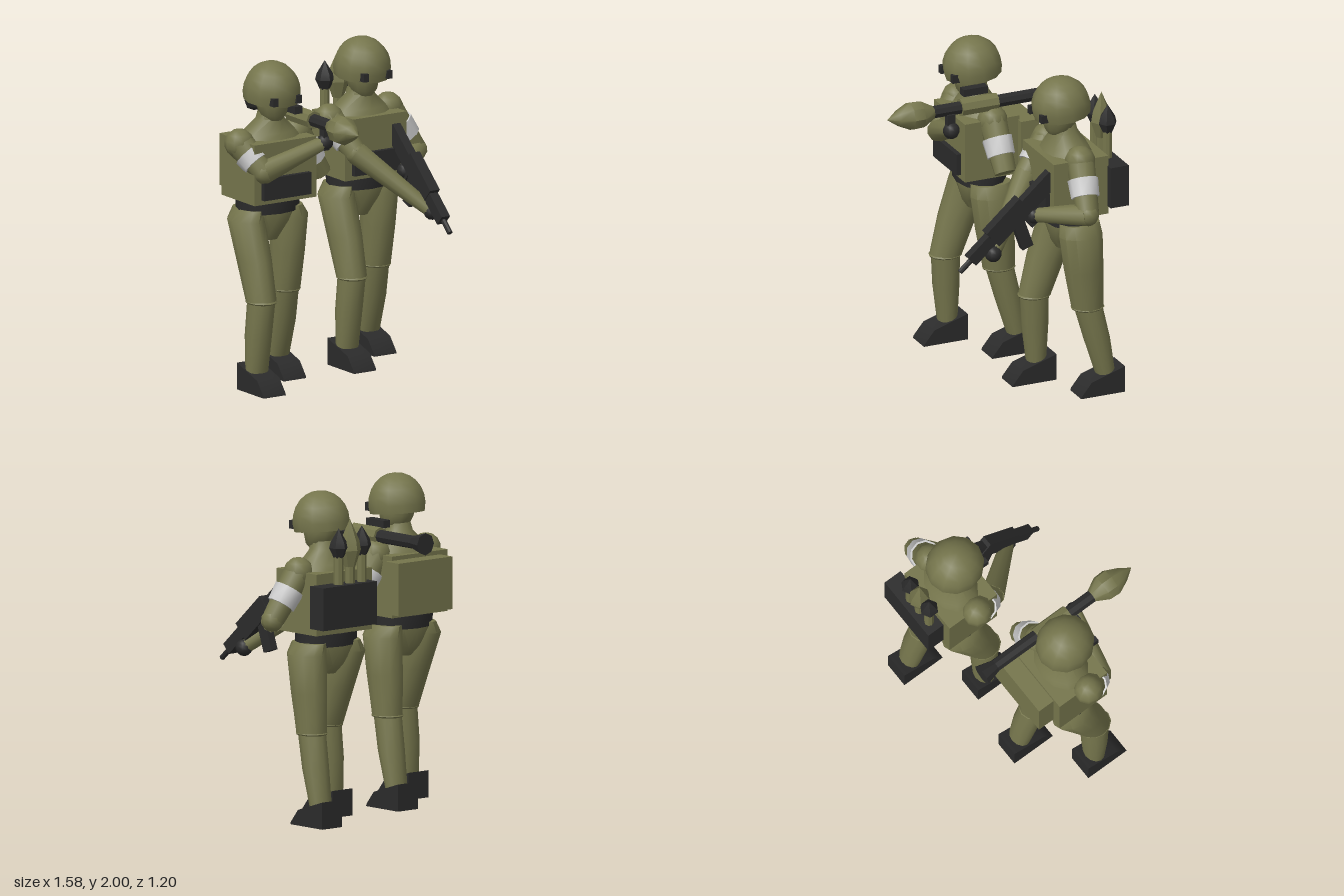
import * as THREE from 'three';
import { toCreasedNormals } from 'three/addons/utils/BufferGeometryUtils.js';

const mat = (color) => new THREE.MeshStandardMaterial({ color, side: THREE.DoubleSide });
const olive = mat(0x75754c), dark = mat(0x2b2b2b), white = mat(0xcccccc);
const V = (a) => new THREE.Vector3(...a);

function add(parent, name, geo, material, pos = [0, 0, 0], crease = 0.75) {
  const mesh = new THREE.Mesh(toCreasedNormals(geo, crease), material);
  mesh.name = name;
  mesh.position.set(...pos);
  parent.add(mesh);
  return mesh;
}

const group = (parent, name, pos = [0, 0, 0]) => {
  const g = new THREE.Group();
  g.name = name;
  g.position.set(...pos);
  parent.add(g);
  return g;
};

// Box given by its limits on each axis
function box(parent, name, material, [x0, x1], [y0, y1], [z0, z1]) {
  return add(parent, name, new THREE.BoxGeometry(x1 - x0, y1 - y0, z1 - z0), material,
    [(x0 + x1) / 2, (y0 + y1) / 2, (z0 + z1) / 2]);
}

// Tapered cylinder between two points
function rod(parent, name, material, a, b, ra, rb, sides = 10) {
  const p = V(a), d = V(b).sub(p);
  const mesh = add(parent, name, new THREE.CylinderGeometry(rb, ra, d.length(), sides), material,
    p.clone().addScaledVector(d, 0.5).toArray());
  mesh.quaternion.setFromUnitVectors(new THREE.Vector3(0, 1, 0), d.normalize());
  return mesh;
}

const ball = (parent, name, material, pos, r) =>
  add(parent, name, new THREE.SphereGeometry(r, 10, 7), material, pos);

// Horizontal elliptical rings [x, y, z, rx, rz], bottom to top, capped at both ends
function loft(parent, name, material, rings, sides = 12) {
  const close = ([x, y, z]) => [x, y, z, 0, 0];
  const all = [close(rings[0]), ...rings, close(rings[rings.length - 1])];
  const pos = [], idx = [];
  all.forEach(([x, y, z, rx, rz], i) => {
    for (let k = 0; k < sides; k++) {
      const t = (k / sides) * Math.PI * 2;
      pos.push(x + rx * Math.cos(t), y, z + rz * Math.sin(t));
      if (!i) continue;
      const a = (i - 1) * sides + k, b = (i - 1) * sides + (k + 1) % sides;
      idx.push(a, a + sides, b, b, a + sides, b + sides);
    }
  });
  const geo = new THREE.BufferGeometry();
  geo.setAttribute('position', new THREE.Float32BufferAttribute(pos, 3));
  geo.setIndex(idx);
  return add(parent, name, geo, material);
}

// Arm from shoulder to elbow, with an armband and an optional forearm and gloved hand
function arm(parent, name, shoulder, elbow, hand) {
  const g = group(parent, name), s = V(shoulder), e = V(elbow);
  const at = (t) => s.clone().lerp(e, t).toArray();
  ball(g, 'shoulder', olive, shoulder, 0.092);
  rod(g, 'upperArm', olive, shoulder, elbow, 0.088, 0.068);
  rod(g, 'armband', white, at(0.35), at(0.68), 0.093, 0.086);
  if (!hand) return;
  ball(g, 'elbow', olive, elbow, 0.07);
  rod(g, 'forearm', olive, elbow, hand, 0.072, 0.042);
  ball(g, 'hand', dark, hand, 0.052);
}

function leg(parent, name, x, out, kneeZ, ankleZ) {
  const g = group(parent, name);
  loft(g, 'shin', olive, [[x + out * 0.02, 0.12, ankleZ, 0.072, 0.06], [x + out * 0.015, 0.35, (kneeZ + ankleZ) / 2, 0.083, 0.082],
    [x, 0.57, kneeZ, 0.084, 0.09]]);
  loft(g, 'thigh', olive, [[x, 0.55, kneeZ, 0.09, 0.1], [x, 0.8, kneeZ * 0.5 - 0.05, 0.1, 0.125],
    [x, 1.03, -0.105, 0.105, 0.14], [x - out * 0.02, 1.1, -0.105, 0.08, 0.13]]);
  const cuff = add(g, 'kneeCuff', new THREE.TorusGeometry(0.084, 0.009, 5, 12), olive, [x, 0.555, kneeZ]);
  cuff.rotation.x = Math.PI / 2;
  cuff.scale.y = 1.13;
  // wedge boot, profile drawn along z and extruded across x
  const s = new THREE.Shape([[-0.1, 0], [0.19, 0], [0.185, 0.015], [0.12, 0.095], [-0.1, 0.165]].map((p) => new THREE.Vector2(...p)));
  const geo = new THREE.ExtrudeGeometry(s, { depth: 0.16, bevelEnabled: false }).translate(0, 0, -0.08).rotateY(-Math.PI / 2);
  add(g, 'boot', geo, dark, [x + out * 0.017, 0, ankleZ]);
}

function soldier(parent, name, pos) {
  const g = group(parent, name, pos), cx = -0.468;
  leg(g, 'rightLeg', -0.615, -1, 0.06, 0.04);
  leg(g, 'leftLeg', -0.305, 1, -0.15, -0.255);
  loft(g, 'pelvis', olive, [[cx, 0.9, -0.09, 0.05, 0.07], [cx, 0.96, -0.1, 0.085, 0.12],
    [cx, 1.07, -0.1, 0.19, 0.145], [cx, 1.17, -0.1, 0.19, 0.14]]);
  loft(g, 'belt', dark, [[cx, 1.075, -0.095, 0.207, 0.15], [cx, 1.155, -0.095, 0.21, 0.153]]);
  // vest, shoulders and neck
  box(g, 'vest', olive, [-0.69, -0.245], [1.16, 1.535], [-0.26, 0.1]);
  box(g, 'pouch', dark, [-0.64, -0.3], [1.19, 1.325], [0.09, 0.13]);
  loft(g, 'shoulders', olive, [[cx, 1.53, -0.08, 0.2, 0.15], [cx, 1.57, -0.08, 0.17, 0.13],
    [cx, 1.65, -0.07, 0.085, 0.085], [cx, 1.72, -0.06, 0.07, 0.075]]);
  // head
  loft(g, 'face', olive, [[cx, 1.645, -0.02, 0.045, 0.05], [cx, 1.68, -0.035, 0.08, 0.09],
    [cx, 1.75, -0.045, 0.097, 0.12], [cx, 1.82, -0.045, 0.1, 0.125]]);
  const helmet = add(g, 'helmet', new THREE.SphereGeometry(1, 12, 7, 0, Math.PI * 2, 0, 1.87), olive, [cx, 1.815, -0.05]);
  helmet.scale.set(0.172, 0.185, 0.182);
  helmet.rotation.x = 0.1;
  const liner = add(g, 'helmetLiner', new THREE.CircleGeometry(1, 12).rotateX(Math.PI / 2), olive, [cx, 1.768, -0.055]);
  liner.scale.set(0.16, 1, 0.17);
  liner.rotation.x = 0.1;
  for (const s of [-1, 1]) box(g, 'chinStrap', dark, [cx + s * 0.085 - 0.017, cx + s * 0.085 + 0.017], [1.76, 1.81], [0.03, 0.125]);
  return g;
}

// Rocket launcher resting on the left shoulder, pointing along +z
function launcher(parent) {
  const g = group(parent, 'launcher', [-0.275, 1.64, 0]);
  rod(g, 'tube', dark, [0, 0, -0.45], [0, 0, 0.3], 0.04, 0.04, 8);
  rod(g, 'flare', dark, [0, 0, -0.53], [0, 0, -0.43], 0.068, 0.04, 8);
  rod(g, 'sleeve', olive, [0, 0, -0.12], [0, 0, 0.12], 0.055, 0.055, 8);
  const profile = [[0, 0], [0.035, 0], [0.085, 0.09], [0.088, 0.16], [0.05, 0.24], [0, 0.31]].map((p) => new THREE.Vector2(...p));
  add(g, 'warhead', new THREE.LatheGeometry(profile, 8).rotateX(Math.PI / 2), olive, [0, 0, 0.29]);
  box(g, 'sight', dark, [-0.105, -0.05], [0.04, 0.085], [-0.09, 0.07]);
  box(g, 'grip', dark, [0.005, 0.045], [-0.17, -0.02], [0.17, 0.22]);
}

// Rifle built along +z, then tipped muzzle down
function rifle(parent) {
  const g = group(parent, 'rifle', [0.477, 1.2, 0.14]);
  rod(g, 'barrel', dark, [0, 0, 0.3], [0, 0, 0.435], 0.017, 0.017, 8);
  box(g, 'handguard', dark, [-0.03, 0.03], [-0.035, 0.04], [0.12, 0.34]);
  box(g, 'receiver', dark, [-0.035, 0.035], [-0.06, 0.065], [-0.13, 0.16]);
  box(g, 'stock', dark, [-0.028, 0.028], [-0.07, 0.035], [-0.37, -0.12]);
  box(g, 'pistolGrip', dark, [-0.025, 0.025], [-0.15, -0.05], [-0.12, -0.06]);
  box(g, 'magazine', dark, [-0.025, 0.025], [-0.23, -0.04], [-0.03, 0.045]).rotation.x = -0.39;
  g.rotation.x = 0.727;
}

// Spare rockets standing in a back carrier
function rocketPack(parent) {
  const g = group(parent, 'rocketPack');
  box(g, 'carrier', dark, [0.17, 0.6], [1.21, 1.47], [-0.595, -0.475]);
  for (const [x, r, bottom, top, m] of [[0.24, 0.058, 1.63, 1.81, dark], [0.335, 0.068, 1.57, 1.86, olive], [0.425, 0.058, 1.63, 1.81, dark]]) {
    const h = top - bottom;
    const profile = [[0, 0], [r * 0.5, 0], [r, h * 0.35], [r * 0.85, h * 0.55], [0, h]].map((p) => new THREE.Vector2(...p));
    rod(g, 'rocketShaft', olive, [x, 1.42, -0.535], [x, bottom + 0.03, -0.535], 0.03, 0.03, 8);
    add(g, 'rocketHead', new THREE.LatheGeometry(profile, 6), m, [x, bottom, -0.535], 0.4);
  }
}

export function createModel() {
  const root = new THREE.Group();
  root.name = 'twoSoldiers';

  // launcher carrier
  const a = soldier(root, 'launcherSoldier', [0, 0, 0]);
  arm(a, 'rightArm', [-0.7, 1.52, -0.05], [-0.62, 1.36, 0.1], [-0.245, 1.515, 0.19]);
  arm(a, 'leftArm', [-0.265, 1.53, -0.09], [-0.085, 1.25, -0.095]);
  box(a, 'backpack', olive, [-0.63, -0.2], [1.19, 1.51], [-0.37, -0.25]);
  launcher(a);

  // rifle carrier
  soldier(root, 'rifleSoldier', [0.8, 0, -0.22]);
  const kit = group(root, 'rifleSoldierKit');
  arm(kit, 'rightArm', [0.1, 1.52, -0.28], [0.18, 1.33, -0.1], [0.49, 1.0, 0.25]);
  arm(kit, 'leftArm', [0.54, 1.53, -0.3], [0.72, 1.25, -0.27], [0.48, 1.2, -0.02]);
  rifle(kit);
  rocketPack(kit);
  return root;
}
